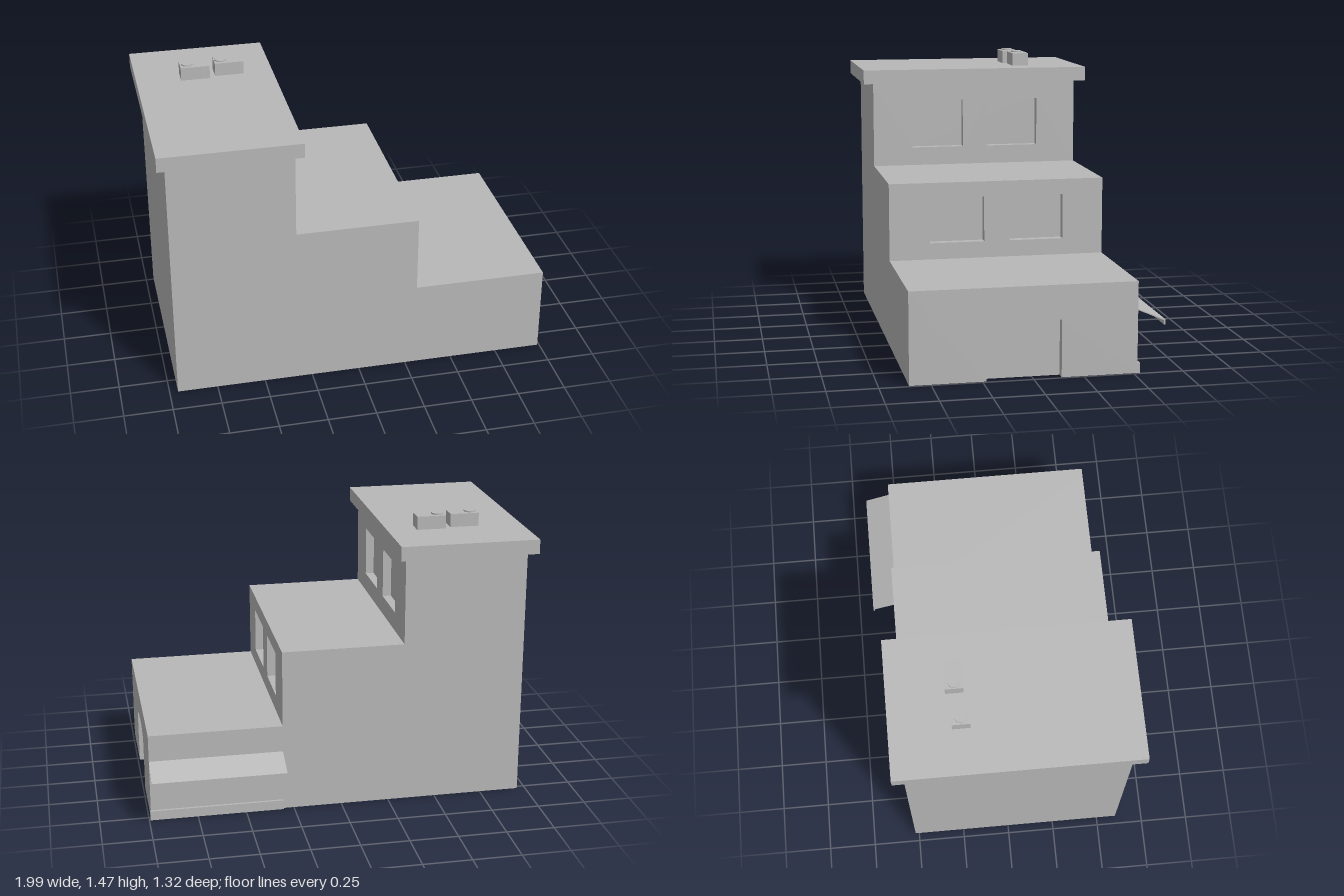
import * as THREE from 'three';

export function createModel() {
  const model = new THREE.Group();
  const grey = new THREE.MeshStandardMaterial({ color: 0xb8b8b8 });
  grey.name = 'plaster grey';

  const Z0 = -0.52, Z1 = 0.605, RECESS = 0.045;
  const add = (name, geometry) => {
    const mesh = new THREE.Mesh(geometry, grey);
    mesh.name = name;
    model.add(mesh);
    return mesh;
  };
  // Box given by its limits on each axis
  const box = (name, x0, x1, y0, y1, z0, z1) =>
    add(name, new THREE.BoxGeometry(x1 - x0, y1 - y0, z1 - z0))
      .position.set((x0 + x1) / 2, (y0 + y1) / 2, (z0 + z1) / 2);
  const poly = (Type, points) => new Type(points.map(([a, b]) => new THREE.Vector2(a, b)));
  const extrude = (shape, depth) => new THREE.ExtrudeGeometry(shape, { depth, bevelEnabled: false });

  // Stepped core, set back behind the facade panels
  const X = [0.99, 0.305, -0.325], Y = [0, 0.46, 0.86, 1.315];
  const profile = [[-0.957, 0]];
  X.forEach((x, i) => profile.push([x - RECESS, Y[i]], [x - RECESS, Y[i + 1]]));
  profile.push([-0.957, Y[3]]);
  add('steppedBody', extrude(poly(THREE.Shape, profile), Z1 - Z0)).position.z = Z0;

  // Facade panels facing +x, drawn in (-z, y) and turned into place
  const facade = (name, shape, x) => {
    add(name, extrude(shape, RECESS).rotateY(Math.PI / 2)).position.x = x - RECESS;
  };

  // Ground floor panel with a chamfered doorway open at the ground
  facade('doorFacade', poly(THREE.Shape, [
    [-Z1, 0], [-0.23, 0], [-0.23, 0.285], [-0.132, 0.325], [0.045, 0.325],
    [0.14, 0.285], [0.14, 0], [-Z0, 0], [-Z0, Y[1]], [-Z1, Y[1]],
  ]), X[0]);

  // Upper panels, each with two window openings
  [[1, 0.545, 0.78], [2, 0.958, 1.218]].forEach(([i, sill, head]) => {
    const wall = poly(THREE.Shape, [[-Z1, Y[i]], [-Z0, Y[i]], [-Z0, Y[i + 1]], [-Z1, Y[i + 1]]]);
    for (const [a, b] of [[-0.395, -0.11], [0.023, 0.307]]) {
      wall.holes.push(poly(THREE.Path, [[a, sill], [a, head], [b, head], [b, sill]]));
    }
    facade('windowFacade' + i, wall, X[i]);
  });

  // Overhanging roof slab
  box('roofSlab', -1, -0.287, 1.315, 1.39, -0.575, 0.66);

  // Roof units with round caps
  [[-0.77, -0.265, -0.732], [-0.59, -0.285, -0.555]].forEach(([x, z, capX], i) => {
    box('roofUnit' + i, x, x + 0.15, 1.39, 1.459, z, z + 0.09);
    add('roofUnitCap' + i, new THREE.CylinderGeometry(0.031, 0.031, 0.008, 10).toNonIndexed())
      .position.set(capX, 1.462, z + 0.045);
  });

  // Rear plinth
  box('rearPlinth', 0.305, 0.994, 0, 0.05, -0.533, Z0);

  // Rear awning: sloping sheet with a hanging lip, in (-z, y)
  const awning = poly(THREE.Shape, [
    [0.515, 0.318], [0.652, 0.258], [0.652, 0.237], [0.66, 0.237], [0.66, 0.262], [0.515, 0.323],
  ]);
  add('awning', extrude(awning, 0.685).rotateY(Math.PI / 2)).position.x = 0.305;

  return model;
}
